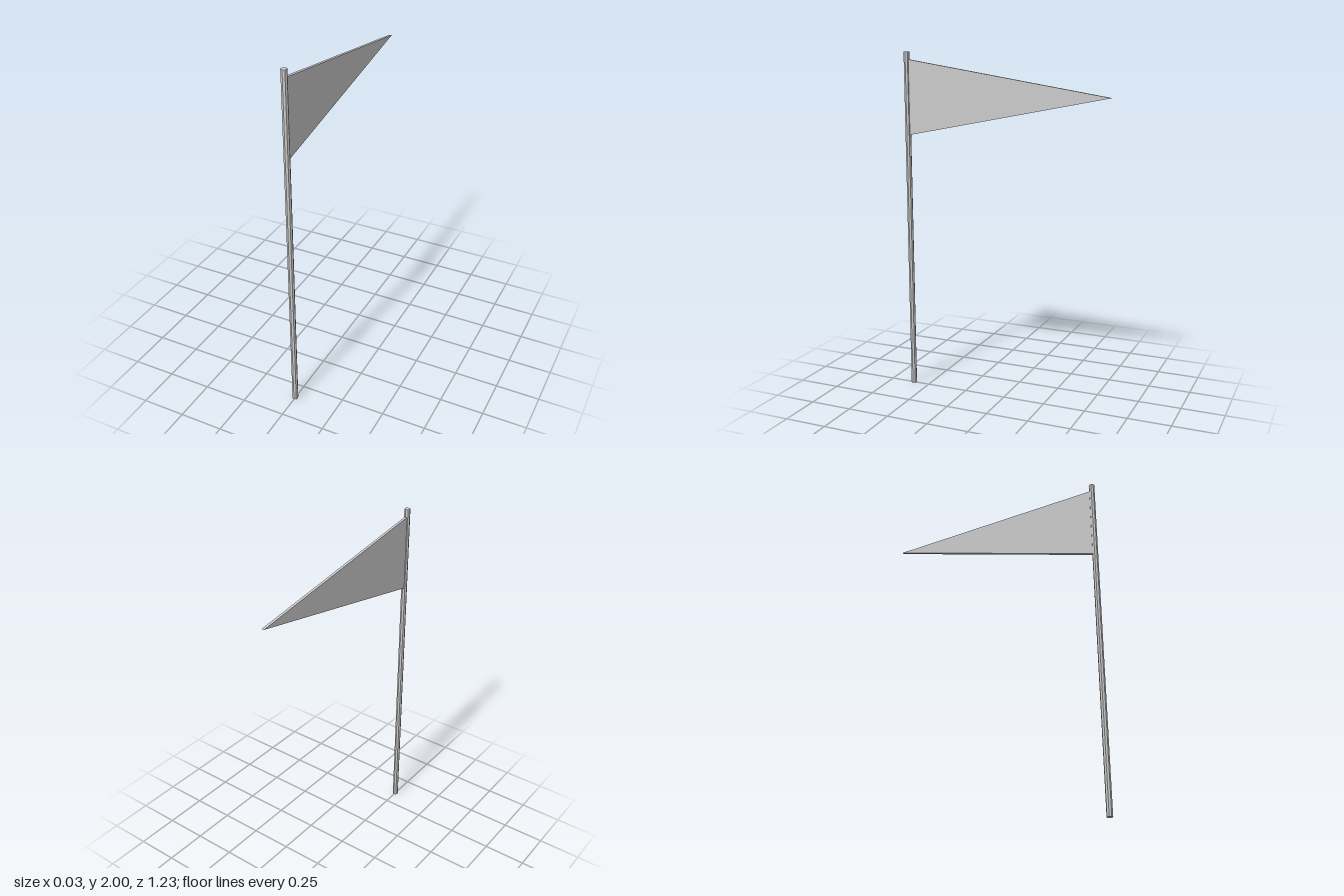
import * as THREE from 'three';

export function createModel() {
  const group = new THREE.Group();
  const material = new THREE.MeshStandardMaterial({ color: 0xcccccc, flatShading: true });
  const poleZ = 0.6, poleRadius = 0.017;

  // Eight-sided pole standing on the ground
  const pole = new THREE.Mesh(new THREE.CylinderGeometry(poleRadius, poleRadius, 2, 8), material);
  pole.name = 'pole';
  pole.position.set(0, 1, poleZ);
  group.add(pole);

  // Thin triangular pennant: x runs away from the pole, y is height
  const thickness = 0.015;
  const outline = new THREE.Shape([
    new THREE.Vector2(0.012, 1.527),
    new THREE.Vector2(1.215, 1.773),
    new THREE.Vector2(0.012, 1.956),
  ]);
  const cloth = new THREE.ExtrudeGeometry(outline, { depth: thickness, bevelEnabled: false });
  cloth.translate(0, 0, -thickness / 2);

  // It trails towards the back, turned very slightly to its left
  const pennant = new THREE.Mesh(cloth, material);
  pennant.name = 'pennant';
  pennant.rotation.y = Math.PI / 2 - 0.008;
  pennant.position.set(-0.001, 0, poleZ);
  group.add(pennant);

  return group;
}
